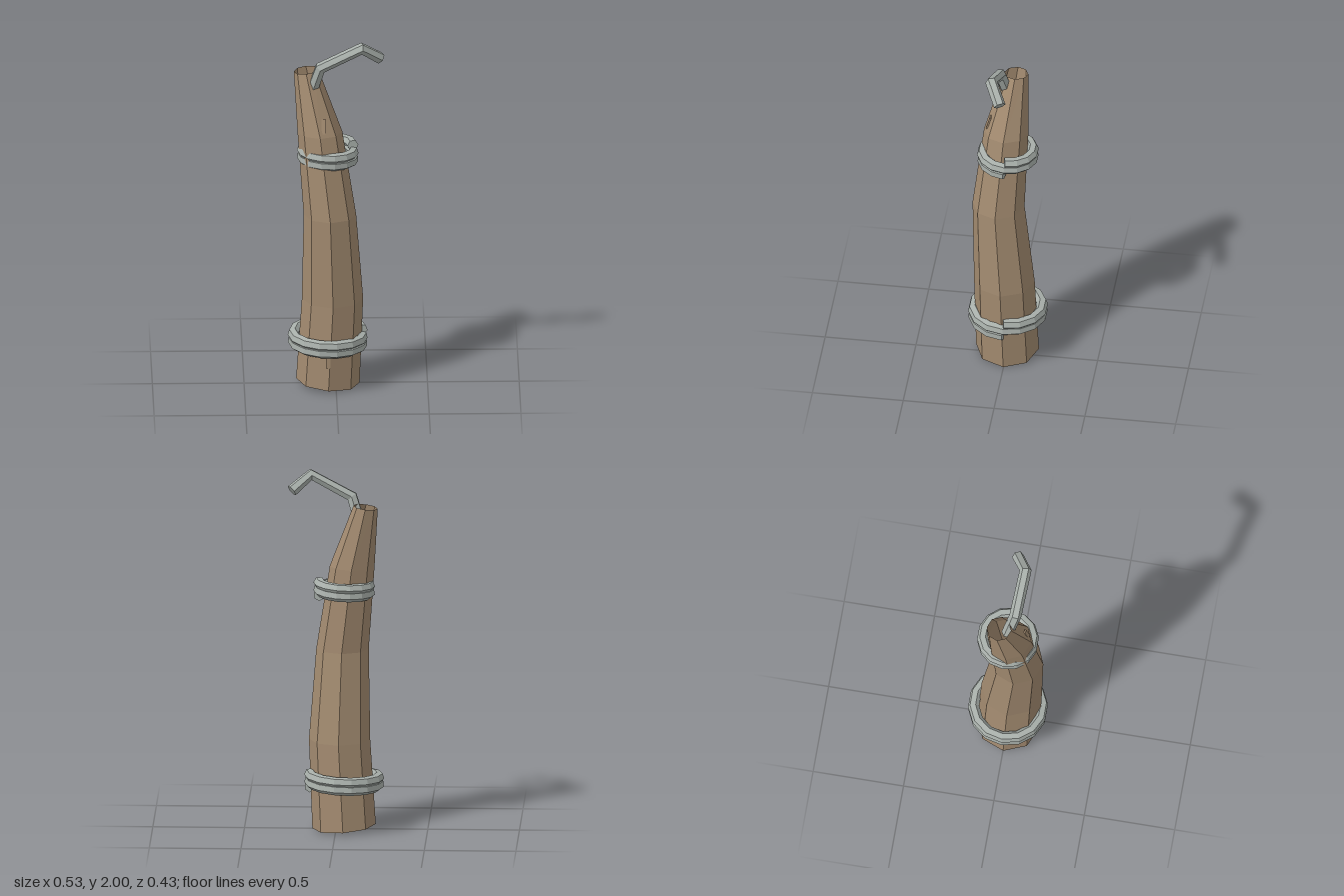
import * as THREE from 'three';

const wood = new THREE.MeshStandardMaterial({ name: 'wood', color: 0xa48c71, flatShading: true, side: THREE.DoubleSide });
const metal = new THREE.MeshStandardMaterial({ name: 'greyMetal', color: 0xa9b0ab, flatShading: true, side: THREE.DoubleSide });

// Straight segments through points, with mitred joints
class PolyPath extends THREE.Curve {
  constructor(points) { super(); this.points = points; }
  getPoint(t, target = new THREE.Vector3()) {
    const n = this.points.length - 1;
    const i = Math.min(Math.floor(t * n + 1e-6), n - 1);
    return target.lerpVectors(this.points[i], this.points[i + 1], t * n - i);
  }
  getPointAt(t, target) { return this.getPoint(t, target); }
  getTangentAt(t, target = new THREE.Vector3()) {
    const p = this.points, n = p.length - 1, i = Math.round(t * n);
    const dir = (k) => p[k + 1].clone().sub(p[k]).normalize();
    return target.copy(dir(Math.max(i - 1, 0))).add(dir(Math.min(i, n - 1))).normalize();
  }
}

// Faceted rod along a path, closed at both ends
function rod(name, points, radius, sides) {
  const group = new THREE.Group();
  group.name = name;
  const path = new PolyPath(points);
  const geo = new THREE.TubeGeometry(path, points.length - 1, radius, sides, false);
  group.add(new THREE.Mesh(geo, metal));
  group.children[0].name = name + 'Rod';
  const pos = geo.attributes.position;
  for (const end of [0, points.length - 1]) {
    const ring = [];
    for (let j = 0; j < sides; j++) ring.push(new THREE.Vector3().fromBufferAttribute(pos, end * (sides + 1) + j));
    const tris = [];
    for (let j = 1; j < sides - 1; j++) tris.push(ring[0], ring[j], ring[j + 1]);
    const capGeo = new THREE.BufferGeometry().setFromPoints(tris);
    capGeo.computeVertexNormals();
    const cap = new THREE.Mesh(capGeo, metal);
    cap.name = name + 'End';
    group.add(cap);
  }
  return group;
}

// Two-turn coil rising from the +x side
function coil(name, radius, y0) {
  const pts = [], seg = 14, pitch = 0.038;
  for (let i = 0; i <= seg * 2; i++) {
    const a = (i / seg) * Math.PI * 2;
    pts.push(new THREE.Vector3(-0.044 + radius * Math.cos(a), y0 + (pitch * i) / seg, radius * Math.sin(a)));
  }
  return rod(name, pts, 0.031, 6);
}

// Bent, tapering hollow post: rings of [y, centre x, centre z, radius, tilt]
function post() {
  const rings = [
    [0.015, -0.043, 0.002, 0.173, -0.08],
    [0.5, -0.018, 0.016, 0.167, 0],
    [1.0, -0.033, 0.05, 0.143, 0],
    [1.47, -0.087, 0.015, 0.122, 0],
    [1.81, -0.162, -0.03, 0.066, 0.12],
  ];
  const sides = 8;
  const geo = new THREE.CylinderGeometry(1, 1, 1, sides, rings.length - 1, true);
  const pos = geo.attributes.position;
  for (let i = 0; i < pos.count; i++) {
    const row = rings.length - 1 - Math.floor(i / (sides + 1));
    const [y, cx, cz, r, tilt] = rings[row];
    const dx = pos.getX(i) * r;
    pos.setXYZ(i, cx + dx, y + dx * tilt, cz + pos.getZ(i) * r);
  }
  geo.computeVertexNormals();
  const mesh = new THREE.Mesh(geo, wood);
  mesh.name = 'post';
  return mesh;
}

export function createModel() {
  const model = new THREE.Group();
  model.name = 'bentPost';
  model.add(post());

  // Metal coils
  model.add(coil('lowerCoil', 0.188, 0.232));
  model.add(coil('upperCoil', 0.138, 1.305));

  // Bent hook at the top
  model.add(rod('hook', [
    new THREE.Vector3(-0.135, 1.69, 0.012),
    new THREE.Vector3(-0.085, 1.85, 0.048),
    new THREE.Vector3(0.14, 1.968, 0.065),
    new THREE.Vector3(0.242, 1.89, 0.005),
  ], 0.033, 6));

  // Small splinters on the front
  for (const [x, y, z, h, lean] of [[-0.068, 1.53, 0.108, 0.08, -0.27], [-0.045, 0.185, 0.176, 0.07, 0]]) {
    const s = new THREE.Mesh(new THREE.BoxGeometry(0.025, h, 0.009), wood);
    s.name = 'splinter';
    s.position.set(x, y, z);
    s.rotation.x = lean;
    model.add(s);
  }
  return model;
}
